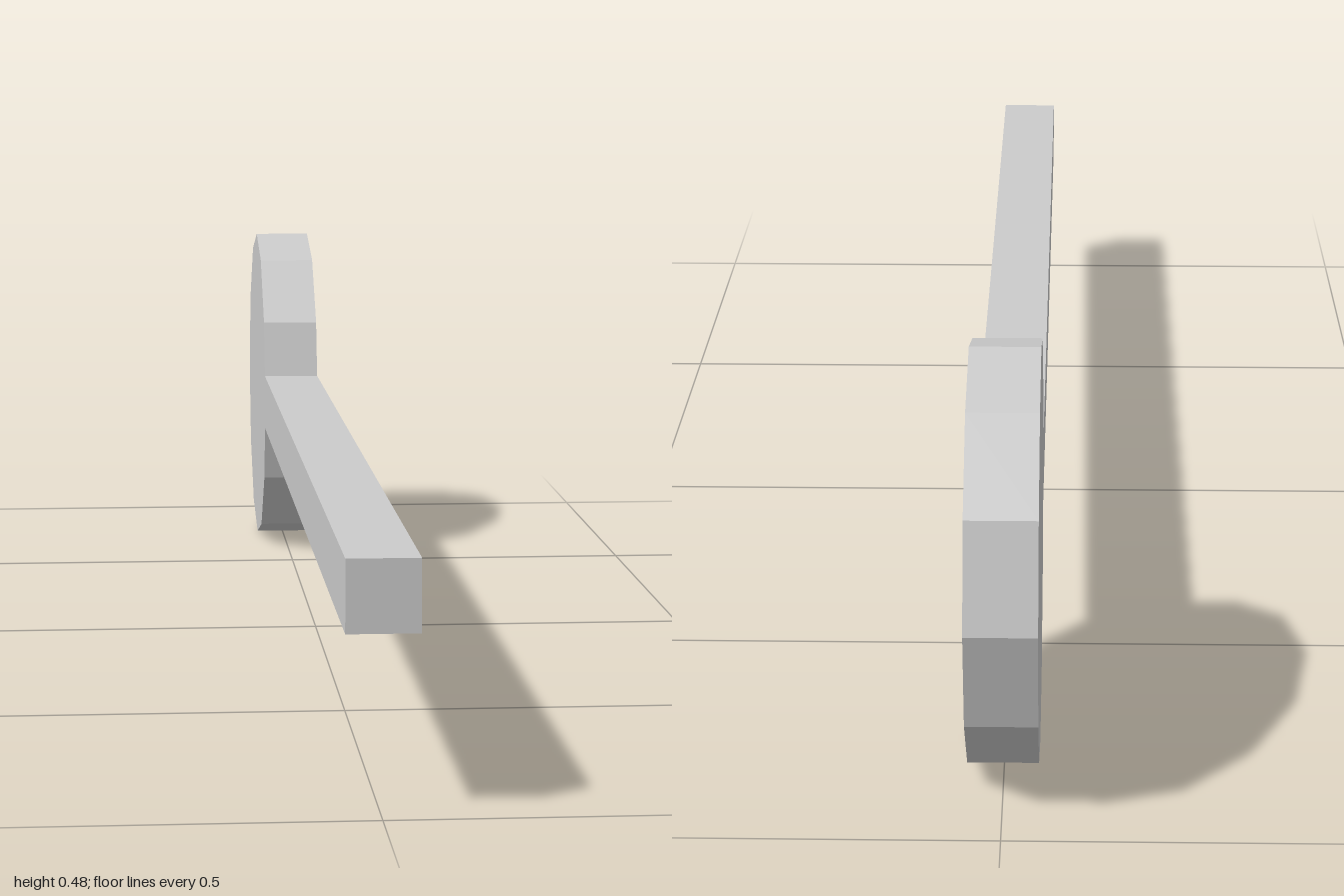
import * as THREE from 'three';

const WIDTH = 0.08; // shared thickness along x
const RADIUS = 0.24;
const HEAD_Z = -1 + RADIUS;

export function createModel() {
  const group = new THREE.Group();
  const material = new THREE.MeshStandardMaterial({ color: 0xcccccc, flatShading: true });

  const add = (name, geometry, y, z) => {
    const mesh = new THREE.Mesh(geometry, material);
    mesh.name = name;
    mesh.position.set(0, y, z);
    group.add(mesh);
  };

  // Twelve-sided disc standing on edge, axis along x
  const disc = new THREE.CylinderGeometry(RADIUS, RADIUS, WIDTH, 12).rotateZ(Math.PI / 2);
  add('discHead', disc, RADIUS, HEAD_Z);

  // Square bar from the disc's rim to the front
  const back = -0.5307;
  const length = 1 - back;
  add('handle', new THREE.BoxGeometry(WIDTH, WIDTH, length), RADIUS, back + length / 2);

  return group;
}
